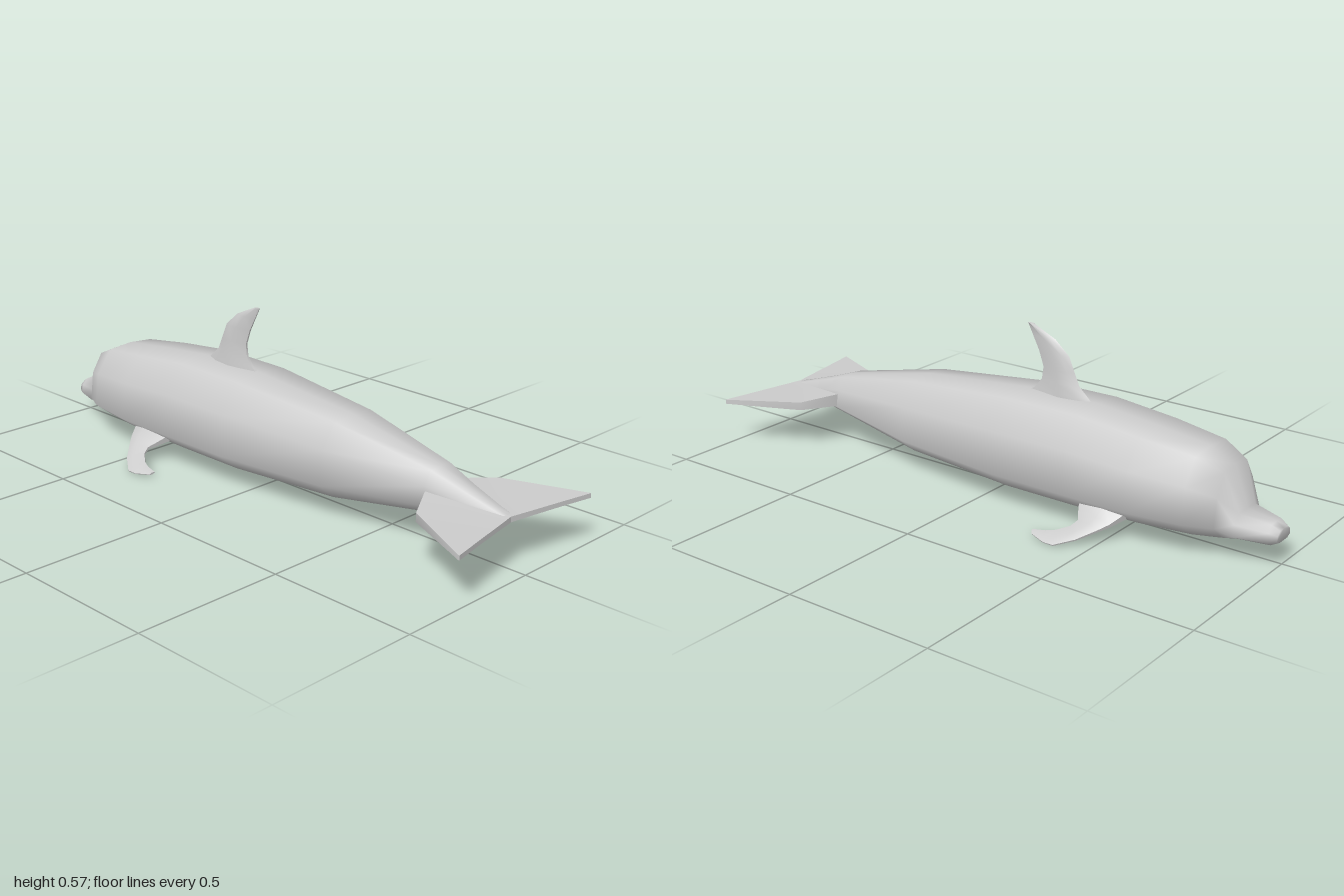
import * as THREE from 'three';
import { toCreasedNormals } from 'three/addons/utils/BufferGeometryUtils.js';

const material = new THREE.MeshStandardMaterial({ color: 0xcccccc });

// Skin a row of equal-sized rings of [x, y, z] points and cap both ends
function loft(rings) {
  const n = rings[0].length;
  const pts = rings.flat();
  const index = [];
  for (let r = 0; r < rings.length - 1; r++) {
    for (let i = 0; i < n; i++) {
      const a = r * n + i, b = r * n + (i + 1) % n;
      index.push(a, b, a + n, b, b + n, a + n);
    }
  }
  const last = (rings.length - 1) * n;
  for (let i = 1; i < n - 1; i++) {
    index.push(0, i + 1, i, last, last + i, last + i + 1);
  }
  // Turn the faces outwards if the enclosed volume is negative
  const v = pts.map((p) => new THREE.Vector3(...p));
  let volume = 0;
  for (let i = 0; i < index.length; i += 3) {
    volume += v[index[i]].dot(v[index[i + 1]].clone().cross(v[index[i + 2]]));
  }
  if (volume < 0) index.reverse();
  const geometry = new THREE.BufferGeometry();
  geometry.setAttribute('position', new THREE.Float32BufferAttribute(pts.flat(), 3));
  geometry.setIndex(index);
  geometry.computeVertexNormals();
  return geometry;
}

function addMesh(group, name, geometry) {
  const mesh = new THREE.Mesh(geometry, material);
  mesh.name = name;
  group.add(mesh);
}

// Body stations from snout to tail: x, bottom, top, half width
const stations = [
  [-1.0, 0.082, 0.12, 0.042],
  [-0.975, 0.07, 0.136, 0.054],
  [-0.88, 0.07, 0.152, 0.085],
  [-0.835, 0.068, 0.278, 0.118],
  [-0.75, 0.064, 0.316, 0.162],
  [-0.57, 0.058, 0.338, 0.189],
  [-0.35, 0.054, 0.36, 0.193],
  [-0.08, 0.053, 0.358, 0.19],
  [0.33, 0.068, 0.32, 0.147],
  [0.68, 0.115, 0.25, 0.08],
  [0.78, 0.125, 0.215, 0.055],
  [0.89, 0.13, 0.18, 0.035],
  [0.94, 0.15, 0.166, 0.025],
];
// Half of the body outline: share of half width, share of height
const outline = [[0, 1], [0.56, 0.97], [0.91, 0.66], [1, 0.22], [0.56, 0], [0, 0]];
const fullOutline = [...outline, ...outline.slice(1, -1).reverse().map(([w, h]) => [-w, h])];

function bodyGeometry() {
  return loft(stations.map(([x, bottom, top, half]) =>
    fullOutline.map(([w, h]) => [x, bottom + (top - bottom) * h, half * w])));
}

// Dorsal fin sections: y, front x, back x, half thickness
const finSections = [
  [0.33, -0.35, -0.06, 0.024],
  [0.368, -0.315, -0.115, 0.022],
  [0.4, -0.28, -0.14, 0.019],
  [0.44, -0.262, -0.145, 0.016],
  [0.49, -0.24, -0.127, 0.013],
  [0.535, -0.188, -0.103, 0.009],
  [0.572, -0.105, -0.083, 0.006],
];

function finGeometry() {
  return loft(finSections.map(([y, front, back, t]) => {
    const at = (f) => front + (back - front) * f;
    return [[front, y, 0], [at(0.2), y, t * 0.7], [at(0.5), y, t], [back, y, t * 0.2],
      [back, y, -t * 0.2], [at(0.5), y, -t], [at(0.2), y, -t * 0.7]];
  }));
}

// Flipper sections: leading x and z, trailing x and z, half thickness
const flipperSections = [
  [-0.55, 0.14, -0.385, 0.14, 0.036],
  [-0.525, 0.185, -0.41, 0.185, 0.02],
  [-0.5, 0.215, -0.42, 0.2, 0.014],
  [-0.455, 0.265, -0.41, 0.225, 0.009],
  [-0.4, 0.304, -0.375, 0.252, 0.007],
  [-0.365, 0.304, -0.345, 0.264, 0.006],
  [-0.31, 0.288, -0.302, 0.272, 0.004],
];

function flipperGeometry(side) {
  const slope = (z) => 0.148 - 0.46 * z;
  return loft(flipperSections.map(([x0, z0, x1, z1, t]) =>
    [[0, 0.3], [0.4, 1], [1, 0.3], [1, -0.3], [0.4, -1], [0, -0.3]].map(([f, k]) => {
      const z = z0 + (z1 - z0) * f;
      return [x0 + (x1 - x0) * f, slope(z) + t * k * 0.9, side * (z + t * k * 0.42)];
    })));
}

// Fluke sections: z, leading x, trailing x, leading top and bottom, trailing top and bottom
const flukeSections = [
  [0, 0.66, 0.94, 0.2, 0.14, 0.168, 0.15],
  [0.075, 0.685, 0.955, 0.19, 0.147, 0.168, 0.152],
  [0.19, 0.75, 0.977, 0.178, 0.15, 0.168, 0.153],
  [0.305, 0.996, 1.0, 0.168, 0.153, 0.168, 0.153],
];

function flukeGeometry(side) {
  return loft(flukeSections.map(([z, x0, x1, t0, b0, t1, b1]) =>
    [[x0, t0, side * z], [x1, t1, side * z], [x1, b1, side * z], [x0, b0, side * z]]));
}

export function createModel() {
  const group = new THREE.Group();
  group.name = 'dolphin';
  addMesh(group, 'body', bodyGeometry());
  addMesh(group, 'dorsalFin', toCreasedNormals(finGeometry(), 1.1));
  // Paired parts: the head points to -x, so its left side is +z
  for (const [label, side] of [['left', 1], ['right', -1]]) {
    addMesh(group, `${label}Flipper`, toCreasedNormals(flipperGeometry(side), 1.1));
    addMesh(group, `${label}Fluke`, toCreasedNormals(flukeGeometry(side), 0.9));
  }
  return group;
}
